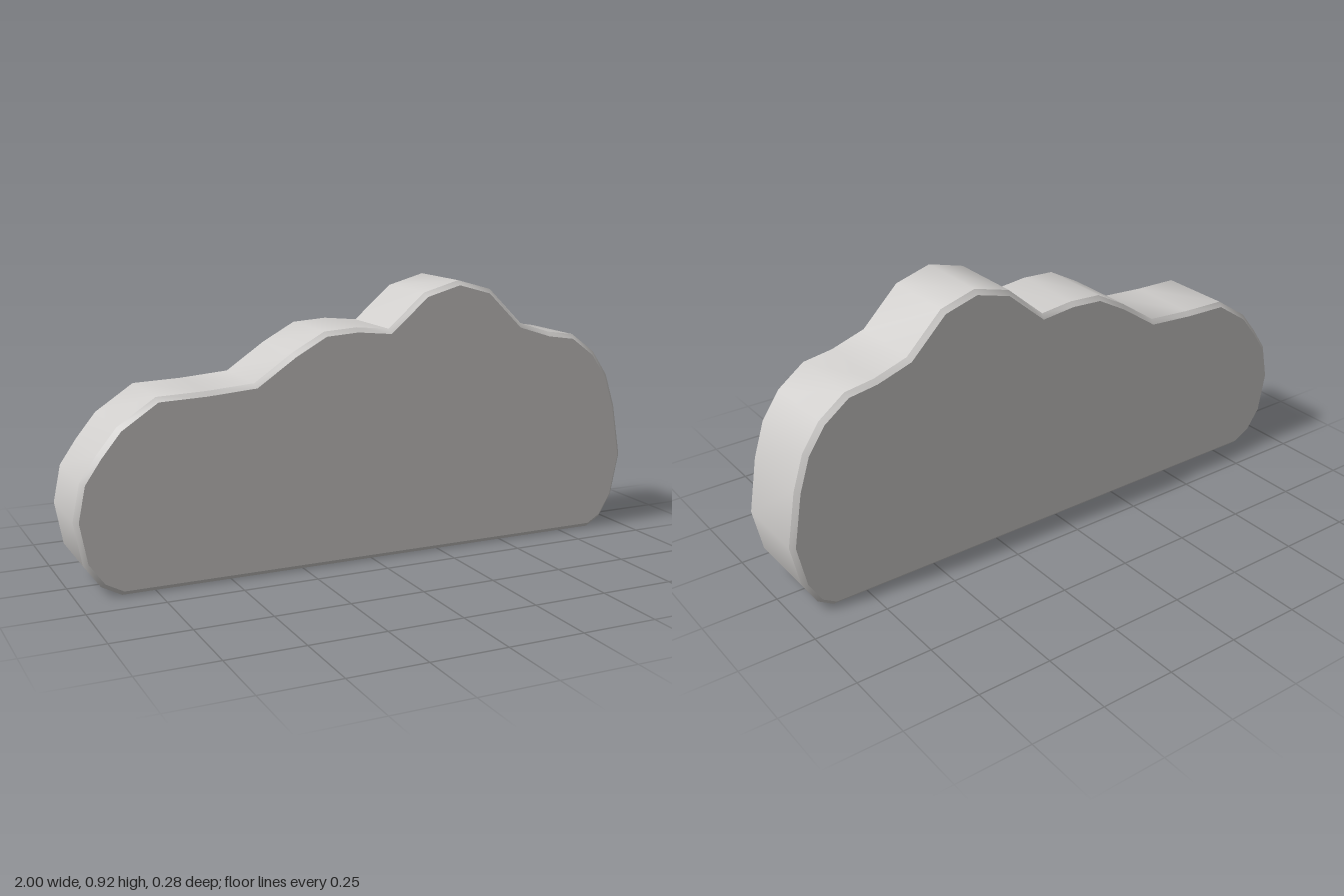
import * as THREE from 'three';
import { toCreasedNormals } from 'three/addons/utils/BufferGeometryUtils.js';

// Cloud silhouette, counter-clockwise from the lower left corner
const OUTLINE = [
  [-0.857, 0], [0.87, 0], [0.923, 0.032], [0.97, 0.11], [1, 0.257],
  [0.968, 0.44], [0.93, 0.556], [0.87, 0.643], [0.78, 0.71], [0.68, 0.725],
  [0.565, 0.762], [0.44, 0.885], [0.317, 0.92], [0.19, 0.885], [0.06, 0.773],
  [-0.055, 0.785], [-0.17, 0.778], [-0.28, 0.718], [-0.41, 0.63], [-0.57, 0.618],
  [-0.73, 0.613], [-0.855, 0.53], [-0.92, 0.45], [-0.975, 0.37], [-1, 0.25],
  [-0.975, 0.11], [-0.922, 0.035],
];
const THICKNESS = 0.284;
const BEVEL = 0.015;

export function createModel() {
  const group = new THREE.Group();
  group.name = 'cloud';

  const paleGrey = new THREE.MeshStandardMaterial({ color: 0xcfcdcb });
  paleGrey.name = 'paleGrey';

  // Thick slab with a narrow chamfer cut inside the silhouette
  const shape = new THREE.Shape(OUTLINE.map(([x, y]) => new THREE.Vector2(x, y)));
  const slab = new THREE.ExtrudeGeometry(shape, {
    depth: THICKNESS - 2 * BEVEL,
    bevelEnabled: true,
    bevelThickness: BEVEL,
    bevelSize: BEVEL,
    bevelOffset: -BEVEL,
    bevelSegments: 1,
  });
  slab.translate(0, 0, BEVEL - THICKNESS / 2);

  // Rim is smooth around the puffs, faces stay flat
  const body = new THREE.Mesh(toCreasedNormals(slab, 0.7), paleGrey);
  body.name = 'cloudBody';
  group.add(body);
  return group;
}
